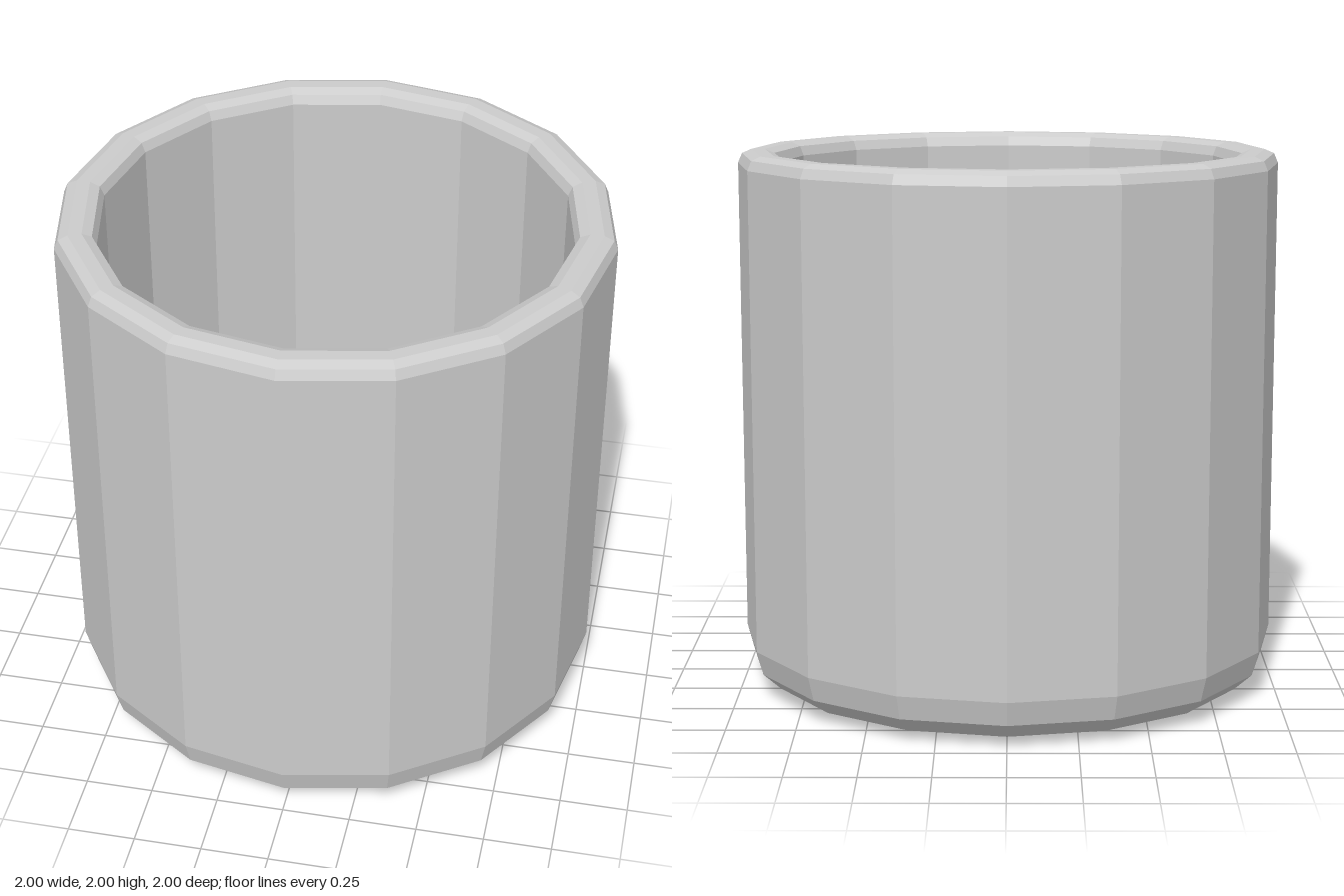
import * as THREE from 'three';

const SIDES = 16;

// Spin a list of [radius, height] points into a faceted surface
function lathe(name, points, material) {
  const profile = points.map(([r, y]) => new THREE.Vector2(r, y));
  const mesh = new THREE.Mesh(new THREE.LatheGeometry(profile, SIDES), material);
  mesh.name = name;
  return mesh;
}

export function createModel() {
  const group = new THREE.Group();
  group.name = 'cup';
  const material = new THREE.MeshStandardMaterial({ color: 0xcccccc, flatShading: true });

  // Underside: pushed-up centre falling to the ring the cup stands on
  group.add(lathe('base', [
    [0, 0.13], [0.46, 0.13], [0.53, 0.12], [0.6, 0.095], [0.66, 0.06],
    [0.72, 0.02], [0.79, 0], [0.82, 0], [0.91, 0.03], [0.976, 0.09], [1, 0.18],
  ], material));

  // Straight outer wall
  group.add(lathe('outerWall', [[1, 0.18], [1, 1.95]], material));

  // Rounded rim
  group.add(lathe('rim', [
    [1, 1.95], [0.985, 1.985], [0.95, 2], [0.9, 2], [0.865, 1.985], [0.85, 1.95],
  ], material));

  // Straight inner wall
  group.add(lathe('innerWall', [[0.85, 1.95], [0.85, 0.2]], material));

  // Inside floor: rounded corner, then a low dome with a flat top
  group.add(lathe('floor', [
    [0.85, 0.2], [0.83, 0.165], [0.79, 0.15], [0.73, 0.17], [0.66, 0.21],
    [0.59, 0.245], [0.52, 0.27], [0.46, 0.28], [0, 0.28],
  ], material));

  return group;
}
